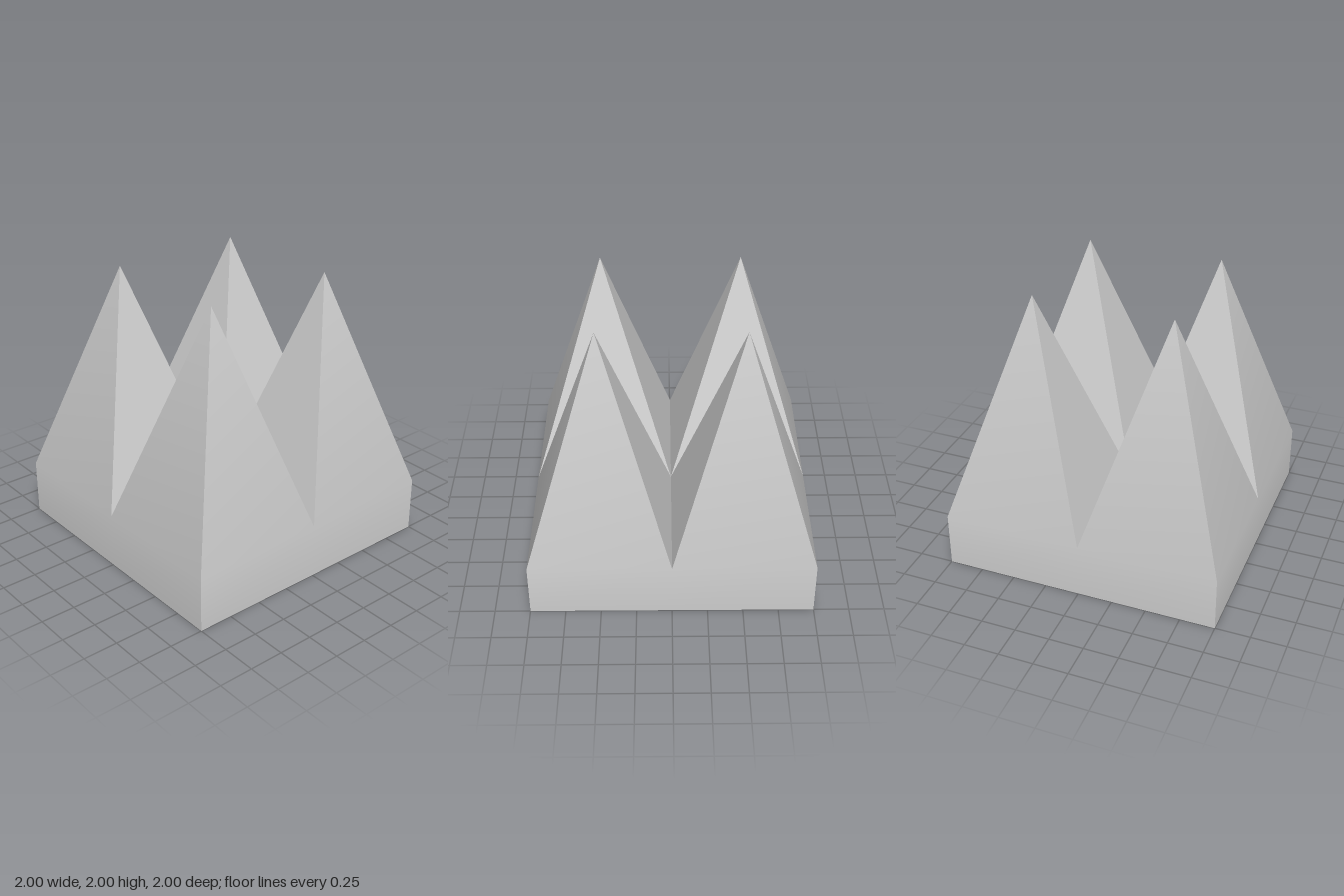
import * as THREE from 'three';
import { mergeGeometries, toCreasedNormals } from 'three/addons/utils/BufferGeometryUtils.js';

const BASE_HEIGHT = 0.4;
const SPIKE_HEIGHT = 1.6;
const HALF = 0.5; // half the width of one spike's square cell

// Square base block without its top, which the spikes cover completely.
function baseBlock() {
  const box = new THREE.BoxGeometry(4 * HALF, BASE_HEIGHT, 4 * HALF, 2, 1, 2);
  box.translate(0, BASE_HEIGHT / 2, 0);
  const top = box.groups[2];
  const index = Array.from(box.index.array);
  index.splice(top.start, top.count);
  box.setIndex(index);
  box.clearGroups();
  return box;
}

// Four-sided pyramid standing on one quarter of the base.
function spike(x, z) {
  const cone = new THREE.ConeGeometry(HALF * Math.SQRT2, SPIKE_HEIGHT, 4, 1, true);
  cone.rotateY(Math.PI / 4);
  cone.translate(x, BASE_HEIGHT + SPIKE_HEIGHT / 2, z);
  cone.clearGroups();
  return cone;
}

export function createModel() {
  const parts = [baseBlock()];
  for (const x of [-HALF, HALF]) {
    for (const z of [-HALF, HALF]) parts.push(spike(x, z));
  }

  // Snap shared corners so the soft bend between base and spikes is found.
  const merged = mergeGeometries(parts);
  const p = merged.attributes.position;
  const snap = (v) => Math.round(v * 1000) / 1000;
  for (let i = 0; i < p.count; i++) {
    p.setXYZ(i, snap(p.getX(i)), snap(p.getY(i)), snap(p.getZ(i)));
  }

  const material = new THREE.MeshStandardMaterial({ color: 0xcccccc });
  const block = new THREE.Mesh(toCreasedNormals(merged, Math.PI / 6), material);
  block.name = 'spikedBlock';

  const model = new THREE.Group();
  model.name = 'fourSpikes';
  model.add(block);
  return model;
}
